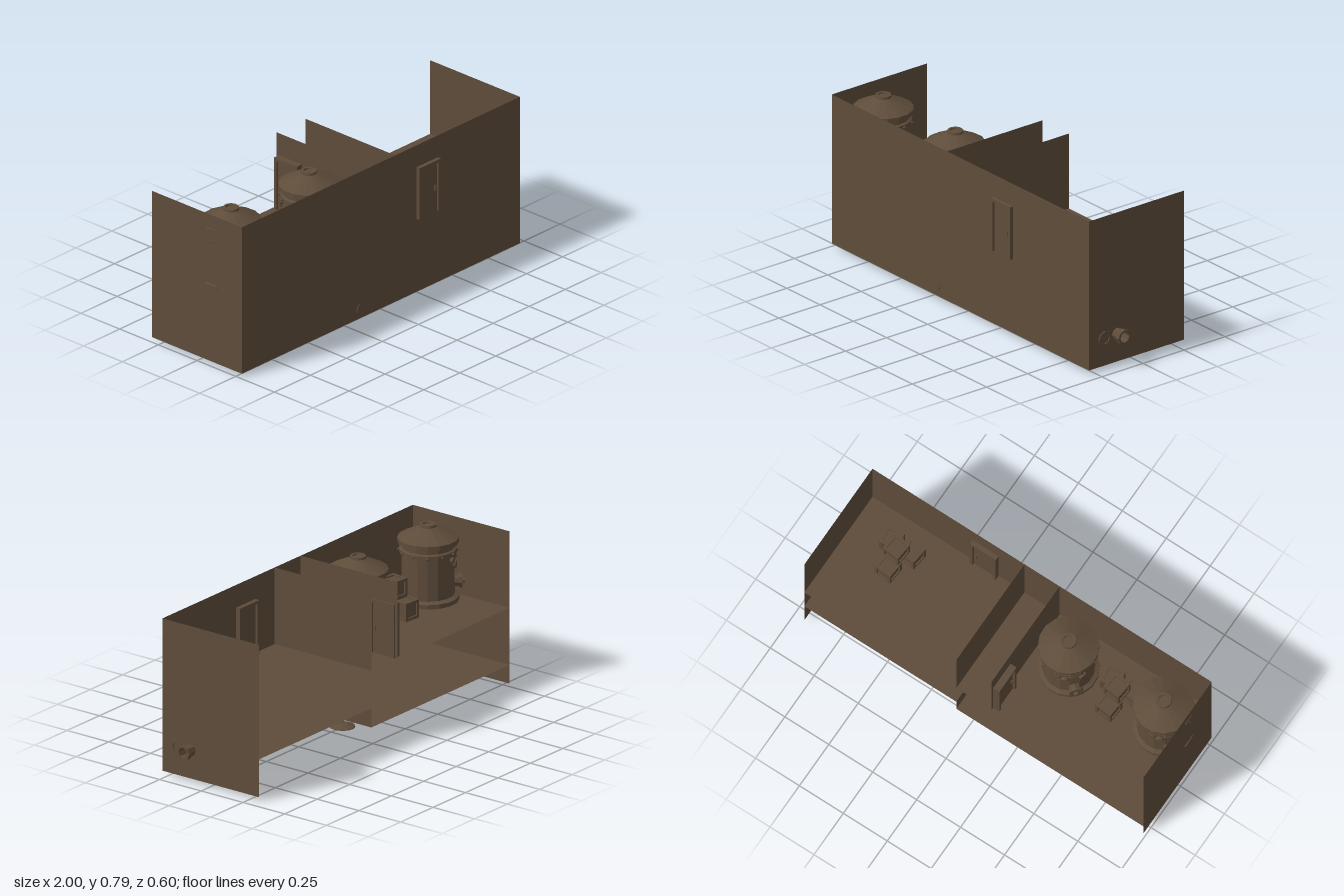
import * as THREE from 'three';

const brown = new THREE.MeshStandardMaterial({ color: 0x5e4c3a, flatShading: true, side: THREE.DoubleSide });
brown.name = 'weathered brown';

function add(parent, name, geometry, x = 0, y = 0, z = 0) {
  const m = new THREE.Mesh(geometry, brown);
  m.name = name;
  m.position.set(x, y, z);
  parent.add(m);
  return m;
}
const group = (parent, name, x = 0, y = 0, z = 0, ry = 0) => {
  const g = new THREE.Group();
  g.name = name;
  g.position.set(x, y, z);
  g.rotation.y = ry;
  parent.add(g);
  return g;
};
const box = (w, h, d) => new THREE.BoxGeometry(w, h, d);
const v = (p) => new THREE.Vector3(...p);

// Room limits: x0..x1, z0..z1, with the shared floor and ceiling heights
const X0 = -0.99, X1 = 0.94, Z0 = -0.3, Z1 = 0.28, Y0 = 0.02, Y1 = 0.79, FLOOR = 0.403, STEP = 0.075;

// Paper-thin sheets for the shell
function sideWall(parent, name, x, y0, y1) {
  add(parent, name, new THREE.PlaneGeometry(Z1 - Z0, y1 - y0), x, (y0 + y1) / 2, (Z0 + Z1) / 2).rotation.y = Math.PI / 2;
}
function floor(parent, name, x0, x1, y) {
  add(parent, name, new THREE.PlaneGeometry(x1 - x0, Z1 - Z0), (x0 + x1) / 2, y, (Z0 + Z1) / 2).rotation.x = -Math.PI / 2;
}

// Doorway centred on its wall, facing local z
function door(parent, name, x, z, ry) {
  const g = group(parent, name, x, FLOOR, z, ry);
  for (const s of [-1, 1]) add(g, 'doorPost', box(0.016, 0.27, 0.044), s * 0.066, 0.135, 0);
  add(g, 'doorLintel', box(0.148, 0.016, 0.044), 0, 0.264, 0);
  add(g, 'doorPanel', box(0.118, 0.256, 0.02), 0, 0.128, 0);
  add(g, 'doorHandle', box(0.01, 0.025, 0.034), 0.045, 0.125, 0);
}

// Vat with domed lid, studded band, gauges and a tap port on its local front
function vat(parent, x, z) {
  const g = group(parent, 'vat', x, FLOOR, z, Math.atan2(-0.6, -0.8));
  const profile = [[0, 0], [0.148, 0], [0.148, 0.022], [0.127, 0.032], [0.125, 0.235], [0.138, 0.24], [0.138, 0.262],
    [0.127, 0.268], [0.127, 0.285], [0.146, 0.29], [0.146, 0.315], [0.04, 0.368], [0.038, 0.38], [0.026, 0.38], [0.024, 0.372], [0, 0.372]];
  add(g, 'vatBody', new THREE.LatheGeometry(profile.map((p) => new THREE.Vector2(...p)), 16));
  for (let i = 0; i < 12; i++) {
    const a = (i / 12) * Math.PI * 2;
    add(g, 'bandStud', new THREE.IcosahedronGeometry(0.008), Math.sin(a) * 0.139, 0.251, Math.cos(a) * 0.139);
  }
  const onSide = (name, geo, t, y, r) => {
    geo.rotateX(Math.PI / 2);
    add(g, name, geo, Math.sin(t) * r, y, Math.cos(t) * r).rotation.y = t;
  };
  for (const [t, y, r] of [[-0.2, 0.185, 0.022], [0.17, 0.222, 0.02], [0.5, 0.19, 0.022], [-0.45, 0.215, 0.016]])
    onSide('gauge', new THREE.CylinderGeometry(r * 0.85, r, 0.02, 8), t, y, 0.127);
  onSide('tapPort', new THREE.CylinderGeometry(0.028, 0.03, 0.05, 8), 0.17, 0.085, 0.135);
  onSide('tapRim', new THREE.CylinderGeometry(0.037, 0.037, 0.014, 8), 0.17, 0.085, 0.153);
  onSide('tapKnob', new THREE.CylinderGeometry(0.012, 0.014, 0.02, 8), 0.17, 0.085, 0.165);
}

// Crate with raised edge battens
function crate(parent, x, y, z, ry) {
  const g = group(parent, 'crate', x, y, z, ry);
  const s = 0.092, b = 0.014, h = (s - b) / 2;
  add(g, 'crateBody', box(s - 0.016, s - 0.016, s - 0.016));
  for (const i of [-1, 1]) for (const j of [-1, 1]) {
    add(g, 'crateBatten', box(b, s, b), i * h, 0, j * h);
    add(g, 'crateBatten', box(s, b, b), 0, i * h, j * h);
    add(g, 'crateBatten', box(b, b, s), i * h, j * h, 0);
  }
}
function crateStack(parent, x) {
  const g = group(parent, 'crateStack', x, FLOOR, 0);
  crate(g, 0, 0.046, 0.01, -0.08);
  crate(g, -0.055, 0.046, 0.133, -0.12);
  crate(g, 0.06, 0.046, 0.133, 0.14);
  crate(g, 0, 0.138, 0.08, -0.1);
}

// Octagonal pipe along a rounded route, with a collar at both ends
function pipe(parent, points) {
  const g = group(parent, 'pipe');
  const pts = points.map(v), path = new THREE.CurvePath();
  let from = pts[0];
  for (let i = 1; i < pts.length - 1; i++) {
    const toward = (q) => pts[i].clone().add(q.clone().sub(pts[i]).setLength(0.05));
    const a = toward(pts[i - 1]), b = toward(pts[i + 1]);
    path.add(new THREE.LineCurve3(from, a));
    path.add(new THREE.QuadraticBezierCurve3(a, pts[i], b));
    from = b;
  }
  path.add(new THREE.LineCurve3(from, pts[pts.length - 1]));
  add(g, 'pipeRun', new THREE.TubeGeometry(path, 30, 0.03, 8));
  const ring = [[0.027, -0.012], [0.038, -0.012], [0.038, 0.012], [0.027, 0.012], [0.027, -0.012]];
  for (const t of [0, 1]) {
    const p = path.getPoint(t);
    const c = add(g, 'pipeCollar', new THREE.LatheGeometry(ring.map((q) => new THREE.Vector2(...q)), 8), p.x, p.y, p.z);
    c.quaternion.setFromUnitVectors(new THREE.Vector3(0, 1, 0), path.getTangent(t));
  }
}

export function createModel() {
  const model = new THREE.Group();
  model.name = 'cutawayRooms';

  // Shell, open at the back and top
  const shell = group(model, 'shell');
  add(shell, 'frontWall', new THREE.PlaneGeometry(X1 - X0, Y1 - Y0), (X0 + X1) / 2, (Y0 + Y1) / 2, Z1);
  sideWall(shell, 'leftWall', X1, Y0, Y1);
  sideWall(shell, 'rightWall', X0, Y0, Y1);
  sideWall(shell, 'leftPartition', STEP, FLOOR, Y1);
  sideWall(shell, 'rightPartition', -0.125, FLOOR, Y1);
  floor(shell, 'mainFloor', X0, X1, FLOOR);
  floor(shell, 'upperCrawlFloor', STEP, X1, 0.212);
  floor(shell, 'lowerCrawlFloor', X0, STEP, 0.115);
  sideWall(shell, 'crawlStep', STEP, 0.115, 0.212);

  door(model, 'frontDoor', 0.297, 0.278, 0);
  door(model, 'partitionDoor', -0.138, -0.212, -Math.PI / 2);

  for (const x of [-0.85, -0.31]) vat(model, x, 0.08);
  for (const x of [-0.585, 0.67]) crateStack(model, x);

  // Pipes under the floors
  pipe(model, [[0.988, 0.165, 0.11], [0.75, 0.165, 0.11], [0.75, 0.036, 0.11]]);
  pipe(model, [[0.934, 0.16, 0.185], [0.6, 0.16, 0.185], [0.5, 0.16, 0.11], [0.415, 0.16, 0.11], [0.415, 0.029, 0.11]]);
  pipe(model, [[-0.16, 0.065, 0.265], [-0.19, 0.075, 0.11], [-0.565, 0.085, 0.11], [-0.565, 0.029, 0.11]]);

  // Hanging lamp below the lower floor
  const lamp = group(model, 'ceilingLamp', -0.075, 0, -0.01);
  add(lamp, 'lampShade', new THREE.LatheGeometry([[0, 0.004], [0.008, 0.004], [0.01, 0.008], [0.062, 0.009], [0.06, 0.013], [0.03, 0.024], [0, 0.026]]
    .map((p) => new THREE.Vector2(...p)), 12));
  add(lamp, 'lampBulb', new THREE.IcosahedronGeometry(0.007, 1), 0, 0.007, 0);
  add(lamp, 'lampCord', new THREE.CylinderGeometry(0.0015, 0.0015, 0.09, 6), 0, 0.07, 0);
  return model;
}
